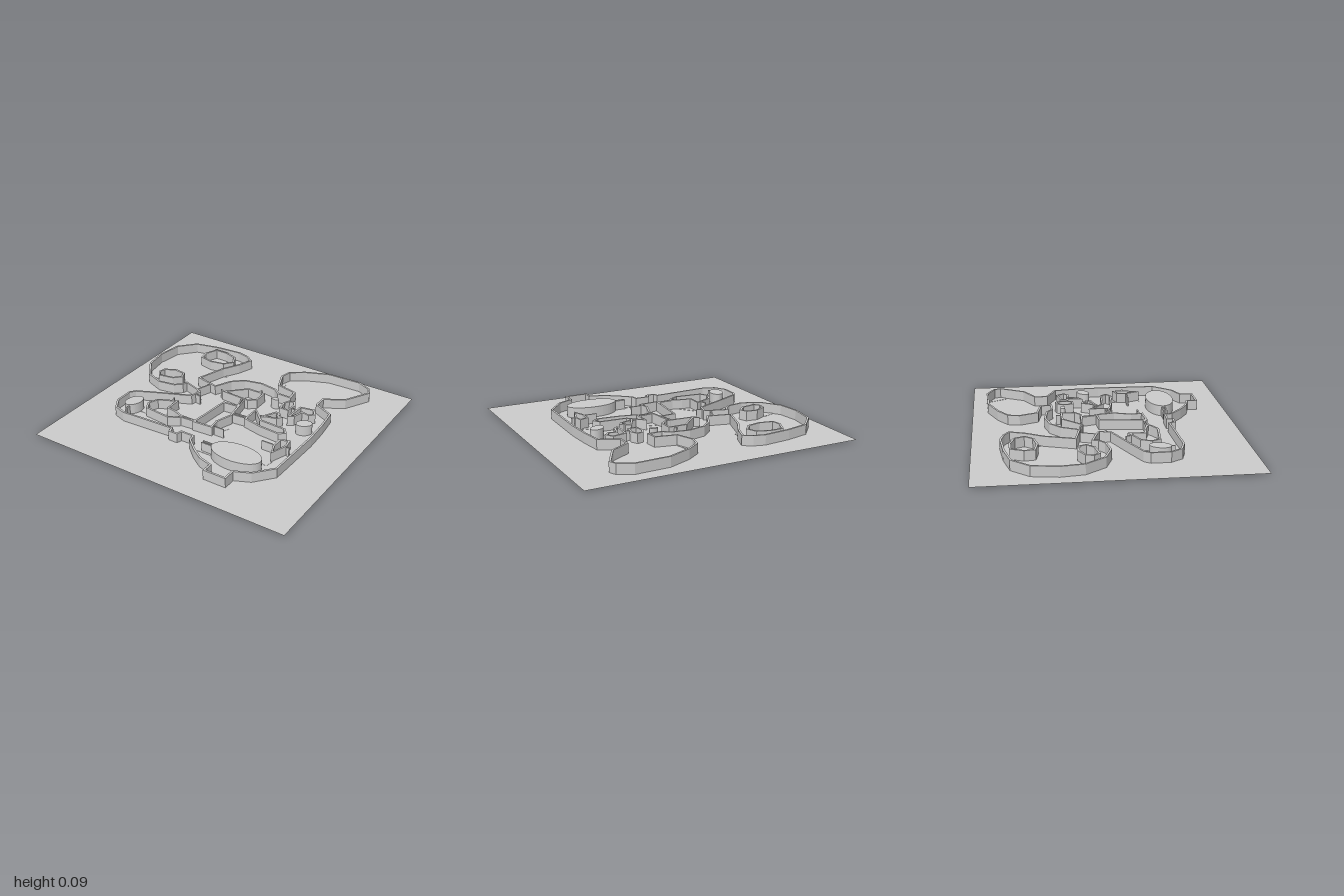
import * as THREE from 'three';

const FLOOR = 0.008, BASE = 0.006, TOP = 0.08, THICK = 0.014;
const material = new THREE.MeshStandardMaterial({ color: 0xcccccc, flatShading: true, side: THREE.DoubleSide });

// plan coordinates are [x, z, x, z, ...] in hundredths of a unit
const toPoints = flat => {
  const points = [];
  for (let i = 0; i < flat.length; i += 2) points.push(new THREE.Vector2(flat[i] / 100, -flat[i + 1] / 100));
  return points;
};

// shift a path sideways with mitred corners
function offsetPath(points, distance, closed) {
  const n = points.length;
  const normal = (a, b) => {
    const d = b.clone().sub(a).normalize();
    return new THREE.Vector2(-d.y, d.x);
  };
  return points.map((p, i) => {
    const before = closed || i > 0 ? normal(points[(i + n - 1) % n], p) : null;
    const after = closed || i < n - 1 ? normal(p, points[(i + 1) % n]) : null;
    const a = before || after, b = after || before;
    const mitre = a.clone().add(b).normalize();
    return p.clone().addScaledVector(mitre, distance / Math.max(0.5, mitre.dot(a)));
  });
}

function extrudeUp(shape, bottom, top) {
  const geometry = new THREE.ExtrudeGeometry(shape, { depth: top - bottom, bevelEnabled: false, curveSegments: 24 });
  return geometry.rotateX(-Math.PI / 2).translate(0, bottom, 0);
}

// wall of constant thickness along a plan path
function wallGeometry(flat, closed, bottom = BASE, top = TOP, thick = THICK) {
  const points = toPoints(flat);
  const left = offsetPath(points, thick / 2, closed), right = offsetPath(points, -thick / 2, closed);
  if (!closed) return extrudeUp(new THREE.Shape([...left, ...right.reverse()]), bottom, top);
  const leftIsOuter = Math.abs(THREE.ShapeUtils.area(left)) > Math.abs(THREE.ShapeUtils.area(right));
  const shape = new THREE.Shape(leftIsOuter ? left : right);
  shape.holes.push(new THREE.Path(leftIsOuter ? right : left));
  return extrudeUp(shape, bottom, top);
}

// perimeter, running round the left-hand lobe, front and right-hand lobe
const perimeter = [
  -43, -24, -36, -45, -29, -57, -25, -68, -31, -72, -39, -74, -59, -72, -76, -68, -87, -56, -90, -38,
  -88, -22, -78, -8, -65, -3, -53, -5, -48, -9, -47, -13, -41, -11, -35, -9, -31, -7, -33, 1,
  -56, 11, -71, 18, -74, 22, -74, 35, -69, 43, -60, 46, -19, 44, -18, 48, -12, 48, -11, 44,
  -1, 44, 0, 49, 9, 57, 18, 63, 28, 66, 28, 73, 44, 73, 44, 64, 55, 59, 66, 46,
  67, 3, 66, -15, 64, -31, 50, -38, 50, -47, 64, -55, 74, -73, 72, -78, 62, -83, 37, -82,
  20, -75, 10, -68, 8, -60, 13, -47, 28, -44, 29, -36, 19, -36, 14, -40, 1, -42, -12, -39,
  -20, -32, -26, -20];

// closed inner walls
const rooms = {
  upperIsland: [-57, -68, -47, -68, -38, -65, -35, -58, -40, -52, -50, -50, -60, -52, -61, -59],
  lowerIsland: [-73, -20, -65, -24, -57, -23, -55, -18, -60, -13, -71, -11, -74, -15],
  backRoom: [-16, -17, -3, -30, 10, -30, 10, -20, 5, -16],
  centreRoom: [-8, -4, 4, -5, 6, 8, 2, 20, 3, 28, -11, 29],
  leftRoom: [-37, 13, -37, 24, -30, 25, -22, 28, -23, 30, -30, 34, -50, 32, -53, 26, -50, 19],
  rightRoom: [17, -8, 22, -3, 27, 2, 47, 3, 50, 7, 46, 10, 31, 9, 17, 6],
  bentRock: [27, -6, 31, -13, 34, -12, 34, -9, 37, -9, 35, -6, 28, -4, 25, -2],
  narrowRock: [31, -31, 35, -32, 37, -28, 36, -20, 30, -20, 29, -27],
  hookRock: [42, -28, 52, -30, 55, -25, 52, -22, 46, -23, 44, -15, 41, -13],
  eastRock: [51, 16, 57, 14, 58, 20, 54, 32, 51, 24],
};

// short straight walls and rails
const rails = [
  [-31, -20, -35, -9], [0, -16, 3, -5], [2, -17, 4, -5], [6, 4, 17, 3], [6, 6, 17, 5],
  [-23, 27, -11, 27], [-23, 29, -11, 28], [4, 26, 12, 26], [41, 23, 50, 23], [8, 45, 17, 45],
  [8, 47, 17, 47], [-42, 10, -40, 15], [-62, 37, -62, 40], [-33, -3, -27, -2], [-20, -19, -16, -17],
  [6, -34, 6, -30], [37, -24, 42, -23], [59, 21, 61, 21], [22, -3, 27, -5],
];

// solid oval blocks: x, z, radius x, radius z, turn
const ovals = [
  [35, 46, 19, 10, 0], [-63, 30, 5, 7.5, -0.3], [55, -10, 5.8, 4, 0.6], [21, -28, 3.2, 1.8, 0],
];

// flat ground patches in the gaps between walls
const patches = [
  [-61, -72, -57, -72, -58, -67, -60, -67], [-41, -53, -36, -53, -33, -46, -35, -46],
  [-84, -18, -74, -21, -74, -16, -83, -15], [-56, -17, -48, -13, -49, -10, -55, -13],
  [8, -64, 11, -62, 14, -48, 12, -48], [62, -82, 73, -77, 73, -72, 69, -68],
  [-37, 13, -27, 25, -37, 25], [6, -3, 15, -1, 15, 4, 6, 4], [4, 14, 9, 15, 6, 21, 3, 21],
  [-58, 26, -53, 26, -53, 30, -58, 30], [51, 11, 57, 12, 56, 15, 51, 15],
  [51, 33, 55, 33, 54, 39, 50, 38], [1, 46, 16, 46, 16, 49, 1, 49],
];

export function createModel() {
  const model = new THREE.Group();
  const add = (name, geometry) => {
    const mesh = new THREE.Mesh(geometry, material);
    mesh.name = name;
    model.add(mesh);
    return mesh;
  };

  // ground sheet
  add('ground', new THREE.PlaneGeometry(2, 1.88).rotateX(-Math.PI / 2).translate(0, FLOOR, 0));

  // walls
  add('perimeterWall', wallGeometry(perimeter, true));
  for (const [name, path] of Object.entries(rooms)) add(name, wallGeometry(path, true));
  rails.forEach(path => add('rail', wallGeometry(path, false, 0, TOP - 0.003, 0.01)));

  // oval blocks
  for (const [x, z, rx, rz, turn] of ovals) {
    const shape = new THREE.Shape().absellipse(x / 100, -z / 100, rx / 100, rz / 100, 0, Math.PI * 2, false, turn);
    add('ovalBlock', extrudeUp(shape, BASE, TOP + 0.005));
  }

  // ground patches
  patches.forEach(path => add('groundPatch', extrudeUp(new THREE.Shape(toPoints(path)), FLOOR, FLOOR + 0.002)));
  return model;
}
